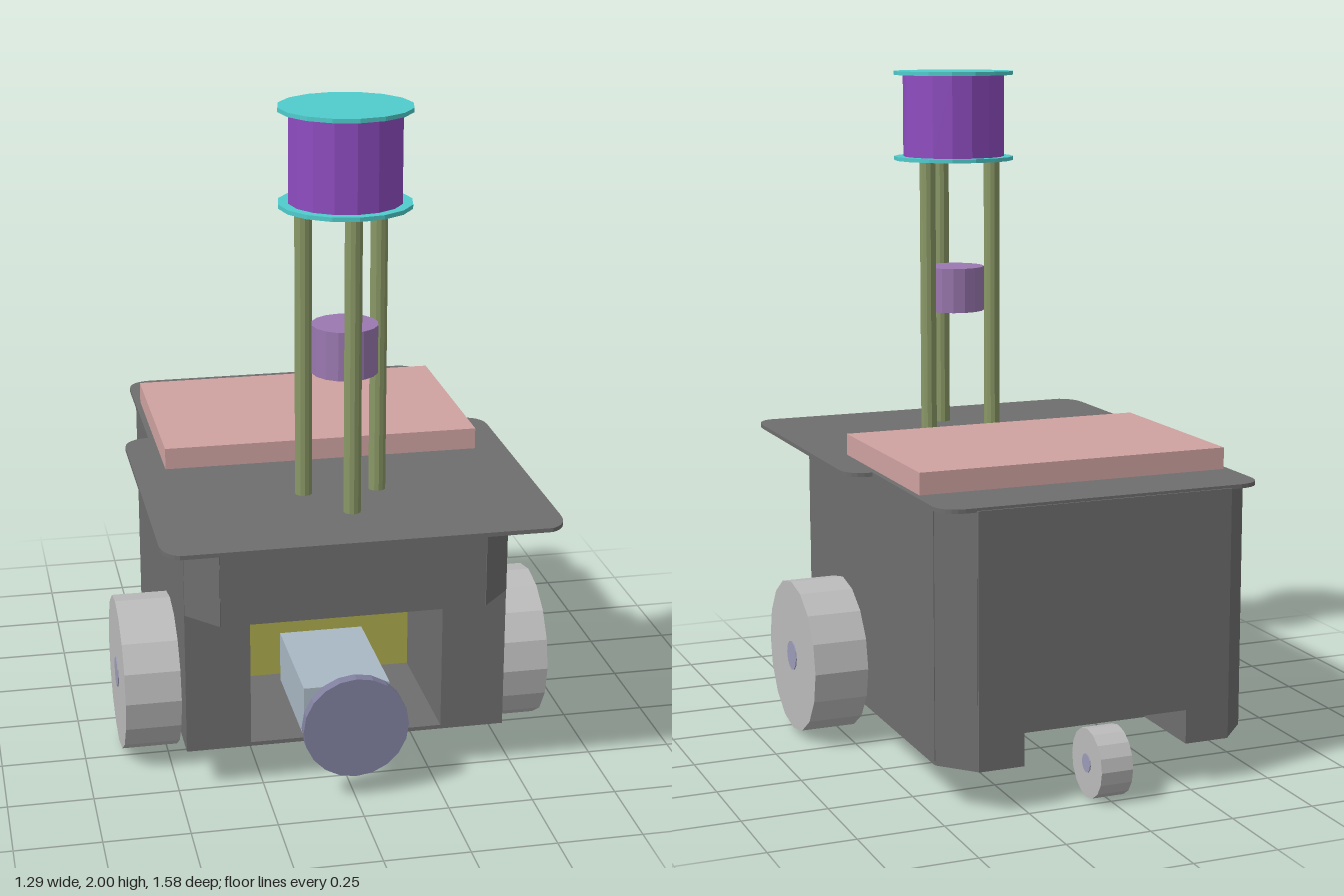
import * as THREE from 'three';

const COLORS = {
  body: 0x6e6e6e, wheel: 0xbbbbbb, hub: 0x9c9cb8, post: 0x8a9866, pad: 0xcfa3a1,
  disc: 0x50cccc, drum: 0x8e4cc0, sensor: 0x9a78b0, battery: 0xaaaa4c, bumper: 0x80809f, block: 0xa9b8c4,
};
const mats = {};
for (const k in COLORS) {
  mats[k] = new THREE.MeshStandardMaterial({ color: COLORS[k], flatShading: true, side: THREE.DoubleSide });
}

const T = 0.012; // sheet thickness

export function createModel() {
  const root = new THREE.Group();

  function add(name, geo, mat, x = 0, y = 0, z = 0, parent = root) {
    const m = new THREE.Mesh(geo, mats[mat]);
    m.name = name;
    m.position.set(x, y, z);
    parent.add(m);
    return m;
  }
  // box given by its limits
  const box = (name, mat, x0, x1, y0, y1, z0, z1) =>
    add(name, new THREE.BoxGeometry(x1 - x0, y1 - y0, z1 - z0), mat, (x0 + x1) / 2, (y0 + y1) / 2, (z0 + z1) / 2);
  // upright cylinder given by bottom and top
  const column = (name, mat, r, y0, y1, x, z, n) =>
    add(name, new THREE.CylinderGeometry(r, r, y1 - y0, n), mat, x, (y0 + y1) / 2, z);
  // cylinder lying along x or z
  const axle = (name, mat, r, len, axis, x, y, z, n) => {
    const g = new THREE.CylinderGeometry(r, r, len, n);
    if (axis === 'x') g.rotateZ(Math.PI / 2); else g.rotateX(Math.PI / 2);
    return add(name, g, mat, x, y, z);
  };
  // horizontal sheet from an outline in x and z
  const sheet = (name, shape, yTop, thick) => {
    const g = new THREE.ExtrudeGeometry(shape, { depth: thick, bevelEnabled: false, curveSegments: 6 });
    g.rotateX(Math.PI / 2);
    return add(name, g, 'body', 0, yTop, 0);
  };
  // upright panel between two points on the ground plan
  const panel = (name, x0, z0, x1, z1, y0, y1) => {
    const g = new THREE.BoxGeometry(Math.hypot(x1 - x0, z1 - z0), y1 - y0, T);
    const m = add(name, g, 'body', (x0 + x1) / 2, (y0 + y1) / 2, (z0 + z1) / 2);
    m.rotation.y = -Math.atan2(z1 - z0, x1 - x0);
    return m;
  };
  const polygon = (pts) => new THREE.Shape(pts.map(([x, y]) => new THREE.Vector2(x, y)));

  // top plate: wide in front, narrower behind, rounded corners
  const plate = new THREE.Shape();
  plate.moveTo(-0.52, 0.79);
  plate.lineTo(0.52, 0.79);
  plate.quadraticCurveTo(0.568, 0.77, 0.568, 0.7);
  plate.lineTo(0.568, -0.08);
  plate.quadraticCurveTo(0.565, -0.15, 0.49, -0.155);
  plate.lineTo(0.49, -0.64);
  plate.quadraticCurveTo(0.485, -0.705, 0.42, -0.71);
  plate.lineTo(-0.42, -0.71);
  plate.quadraticCurveTo(-0.485, -0.705, -0.49, -0.64);
  plate.lineTo(-0.49, -0.155);
  plate.quadraticCurveTo(-0.565, -0.15, -0.568, -0.08);
  plate.lineTo(-0.568, 0.7);
  plate.quadraticCurveTo(-0.568, 0.77, -0.52, 0.79);
  sheet('topPlate', plate, 0.866, T);

  // floor with a notch for the rear castor
  sheet('floor', polygon([
    [-0.475, 0.5], [0.475, 0.5], [0.475, -0.61], [0.385, -0.71], [0.25, -0.71], [0.25, -0.45],
    [-0.25, -0.45], [-0.25, -0.71], [-0.385, -0.71], [-0.475, -0.61],
  ]), 0.137, T);

  // back panel with the castor cutout
  const back = polygon([
    [-0.385, 0.125], [-0.25, 0.125], [-0.25, 0.225], [0.25, 0.225], [0.25, 0.125],
    [0.385, 0.125], [0.385, 0.858], [-0.385, 0.858],
  ]);
  add('backPanel', new THREE.ExtrudeGeometry(back, { depth: T, bevelEnabled: false }), 'body', 0, 0, -0.715);

  // castor recess
  box('recessRoof', 'body', -0.25, 0.25, 0.225, 0.225 + T, -0.71, -0.45);
  box('recessWall', 'body', -0.25, 0.25, 0.125, 0.225, -0.45, -0.45 + T);

  // front upper panel
  panel('frontUpperPanel', -0.385, 0.594, 0.385, 0.594, 0.56, 0.858);

  // mirrored walls and wheels
  for (const s of [1, -1]) {
    const side = s > 0 ? 'left' : 'right';
    panel(side + 'Wall', s * 0.469, -0.61, s * 0.469, 0.5, 0.125, 0.858);
    panel(side + 'BackCorner', s * 0.47, -0.61, s * 0.382, -0.707, 0.125, 0.858);
    panel(side + 'FrontCorner', s * 0.47, 0.5, s * 0.382, 0.596, 0.56, 0.858);
    panel(side + 'FrontPanel', s * 0.285, 0.494, s * 0.475, 0.494, 0.13, 0.56);
    panel(side + 'BayWall', s * 0.291, 0.07, s * 0.291, 0.49, 0.13, 0.56);
    panel(side + 'RecessSide', s * 0.256, -0.71, s * 0.256, -0.45, 0.125, 0.225);
    axle(side + 'Wheel', 'wheel', 0.231, 0.165, 'x', s * 0.5575, 0.245, 0.178, 16);
    axle(side + 'Hub', 'hub', 0.045, 0.17, 'x', s * 0.558, 0.245, 0.178, 12);
  }

  // rear castor
  axle('castorWheel', 'wheel', 0.1, 0.096, 'x', 0, 0.1, -0.69, 16);
  axle('castorHub', 'hub', 0.027, 0.102, 'x', 0, 0.1, -0.69, 12);

  // equipment in the front bay
  box('battery', 'battery', -0.285, 0.285, 0.138, 0.48, -0.1, 0.07);
  box('bumperMotor', 'block', -0.128, 0.128, 0.138, 0.295, 0.11, 0.5);
  axle('bumperRod', 'post', 0.028, 0.11, 'z', 0, 0.225, 0.553, 12);
  axle('bumperDisc', 'bumper', 0.155, 0.034, 'z', 0, 0.225, 0.622, 20);

  // pad on the top plate
  box('topPad', 'pad', -0.473, 0.473, 0.864, 0.93, -0.5, 0.128);

  // mast: three posts, small sensor, drum between two discs
  for (const [x, z] of [[0, 0.56], [0.108, 0.395], [-0.108, 0.395]]) {
    column('mastPost', 'post', 0.025, 0.86, 1.725, x, z, 12);
  }
  column('smallSensor', 'sensor', 0.095, 1.245, 1.385, 0, 0.447, 16);
  column('lowerDisc', 'disc', 0.188, 1.722, 1.734, 0, 0.447, 16);
  column('drum', 'drum', 0.159, 1.734, 1.988, 0, 0.447, 16);
  column('upperDisc', 'disc', 0.188, 1.988, 2.0, 0, 0.447, 16);

  return root;
}
